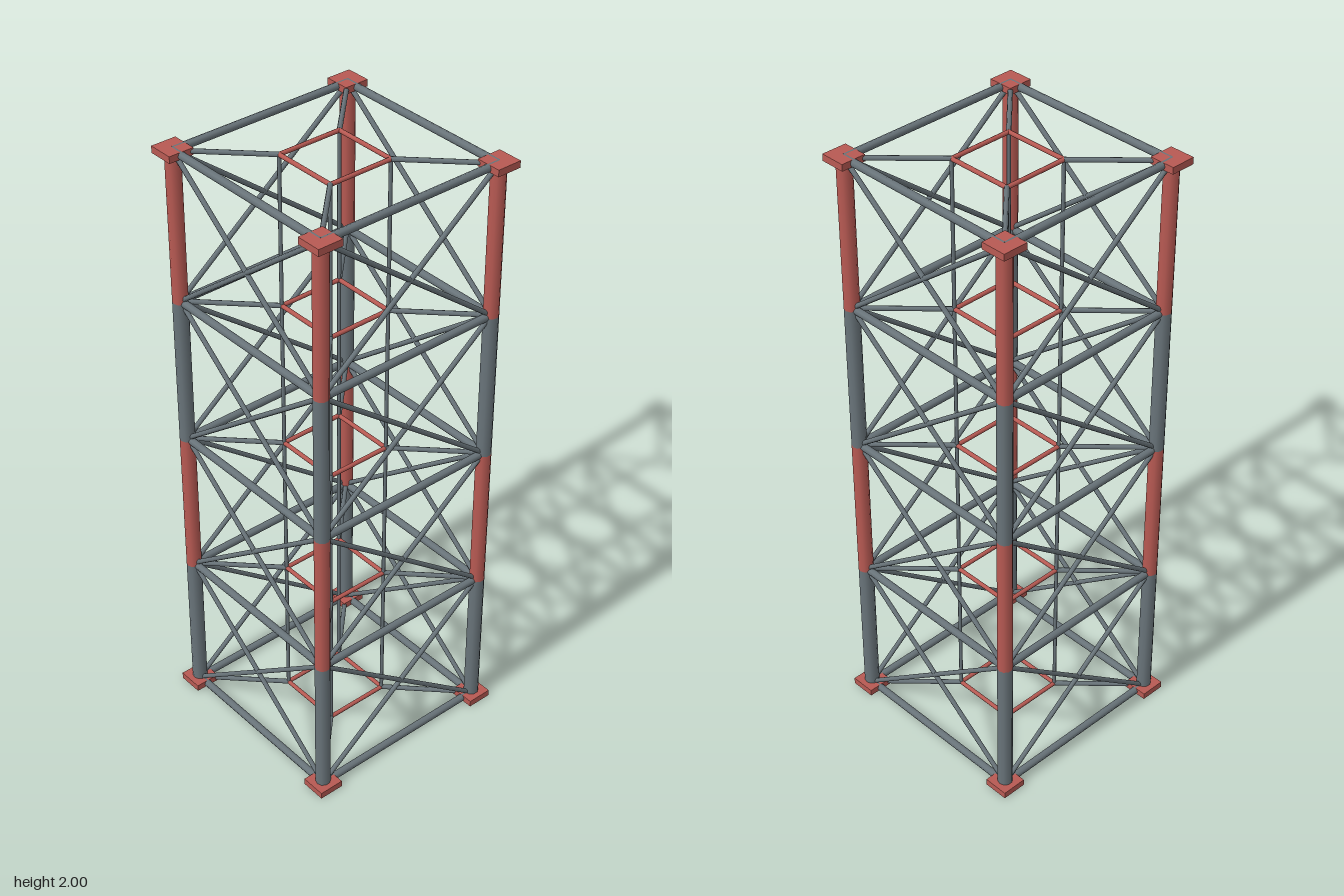
import * as THREE from 'three';

const steel = new THREE.MeshStandardMaterial({ color: 0x69747a });
steel.name = 'steel grey';
const red = new THREE.MeshStandardMaterial({ color: 0xb85a53 });
red.name = 'faded red';

const UP = new THREE.Vector3(0, 1, 0);
const HALF = 0.318;   // leg distance from the axis
const CORE = 0.109;   // inner guide distance from the axis
const LEVELS = [0.0125, 0.506, 1, 1.494, 1.9875];
const CORNERS = [[1, 1], [1, -1], [-1, -1], [-1, 1]];

// Straight tube between two points
function tube(parent, name, a, b, radius, material, sides = 8) {
  const dir = b.clone().sub(a);
  const geometry = new THREE.CylinderGeometry(radius, radius, dir.length(), sides);
  const mesh = new THREE.Mesh(geometry, material);
  mesh.name = name;
  mesh.position.copy(a).add(b).multiplyScalar(0.5);
  mesh.quaternion.setFromUnitVectors(UP, dir.normalize());
  parent.add(mesh);
}

const node = (corner, y, size) => new THREE.Vector3(corner[0] * size, y, corner[1] * size);

function group(parent, name) {
  const g = new THREE.Group();
  g.name = name;
  parent.add(g);
  return g;
}

export function createModel() {
  const tower = new THREE.Group();
  tower.name = 'latticeTowerSection';
  const legs = group(tower, 'legs');
  const plates = group(tower, 'cornerPlates');
  const bars = group(tower, 'horizontalBars');
  const braces = group(tower, 'crossBraces');
  const core = group(tower, 'innerGuide');
  const plateGeometry = new THREE.BoxGeometry(0.083, 0.022, 0.083);

  CORNERS.forEach((c, i) => {
    const next = CORNERS[(i + 1) % 4];

    // Square plates at the foot and head of each leg
    for (const y of [LEVELS[0], LEVELS[4]]) {
      const plate = new THREE.Mesh(plateGeometry, red);
      plate.name = 'cornerPlate';
      plate.position.copy(node(c, y, HALF));
      plates.add(plate);
    }

    // Inner vertical guide rail
    tube(core, 'guideRail', node(c, LEVELS[0], CORE), node(c, LEVELS[4], CORE), 0.006, steel);

    LEVELS.forEach((y, k) => {
      // Frame bar, guide ring side and the strut joining them
      tube(bars, 'horizontalBar', node(c, y, HALF), node(next, y, HALF), 0.0122, steel);
      tube(core, 'guideRing', node(c, y, CORE), node(next, y, CORE), 0.007, red);
      tube(core, 'guideStrut', node(c, y, HALF), node(c, y, CORE), 0.0078, steel);

      if (k === 4) return;
      const top = LEVELS[k + 1];
      // Leg sections alternate in colour
      tube(legs, 'legSection', node(c, y, HALF), node(c, top, HALF), 0.024, k % 2 ? red : steel, 10);
      // Crossed braces on each face
      tube(braces, 'brace', node(c, y, HALF), node(next, top, HALF), 0.0078, steel);
      tube(braces, 'brace', node(next, y, HALF), node(c, top, HALF), 0.0078, steel);
    });
  });

  return tower;
}
